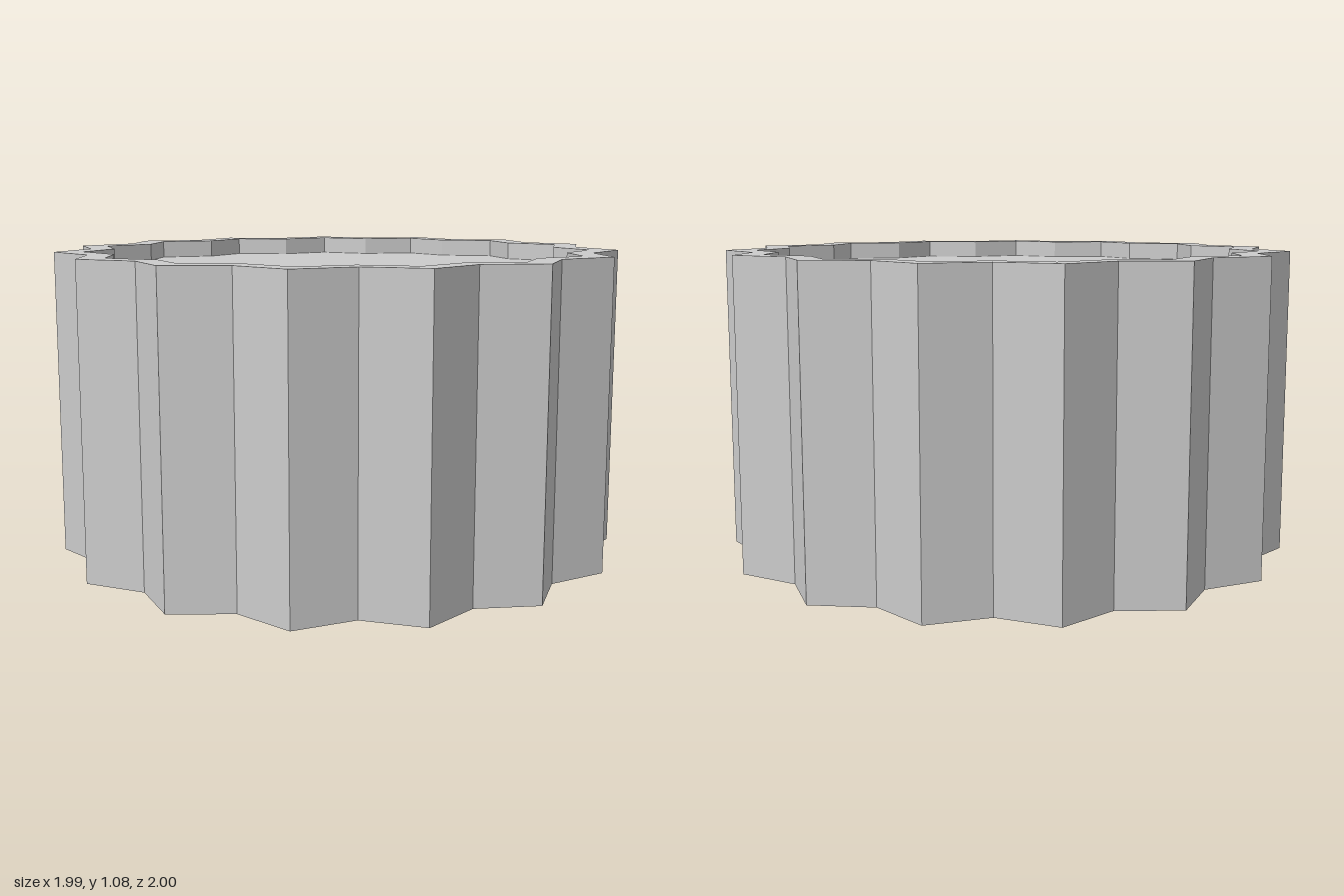
import * as THREE from 'three';

const POINTS = 15;          // teeth around the rim
const HEIGHT = 1.075;
const FLOOR = HEIGHT - 0.063; // level of the recessed top
const OFFSET_X = 0.011;     // centres the odd-numbered star on x

// Cross-sections from bottom centre, up the outside, over the rim, to the recess centre:
// [tip radius, valley radius, y]
const SECTIONS = [
  [0, 0, 0],
  [1.0055, 0.904, 0],
  [1.0055, 0.904, HEIGHT],
  [0.904, 0.816, HEIGHT],
  [0.904, 0.816, FLOOR],
  [0, 0, FLOOR],
];

// Point i of a star-shaped section; even points are tips, the first tip faces -x
function starPoint([tip, valley, y], i) {
  const angle = Math.PI + (i * Math.PI) / POINTS;
  const r = i % 2 === 0 ? tip : valley;
  return [r * Math.cos(angle) + OFFSET_X, y, r * Math.sin(angle)];
}

// Skins neighbouring sections with flat faces
function starSkin(sections) {
  const positions = [];
  for (let s = 0; s < sections.length - 1; s++) {
    const lower = sections[s], upper = sections[s + 1];
    for (let i = 0; i < POINTS * 2; i++) {
      const a = starPoint(lower, i), b = starPoint(upper, i);
      const c = starPoint(upper, i + 1), d = starPoint(lower, i + 1);
      if (upper[0] > 0) positions.push(...a, ...b, ...c);
      if (lower[0] > 0) positions.push(...a, ...c, ...d);
    }
  }
  const geometry = new THREE.BufferGeometry();
  geometry.setAttribute('position', new THREE.Float32BufferAttribute(positions, 3));
  geometry.computeVertexNormals();
  return geometry;
}

export function createModel() {
  const group = new THREE.Group();
  group.name = 'flutedCap';
  const material = new THREE.MeshStandardMaterial({ color: 0xcccccc, flatShading: true });

  // Fluted solid body with a raised rim around a shallow recess
  const body = new THREE.Mesh(starSkin(SECTIONS), material);
  body.name = 'flutedBody';
  group.add(body);
  return group;
}
